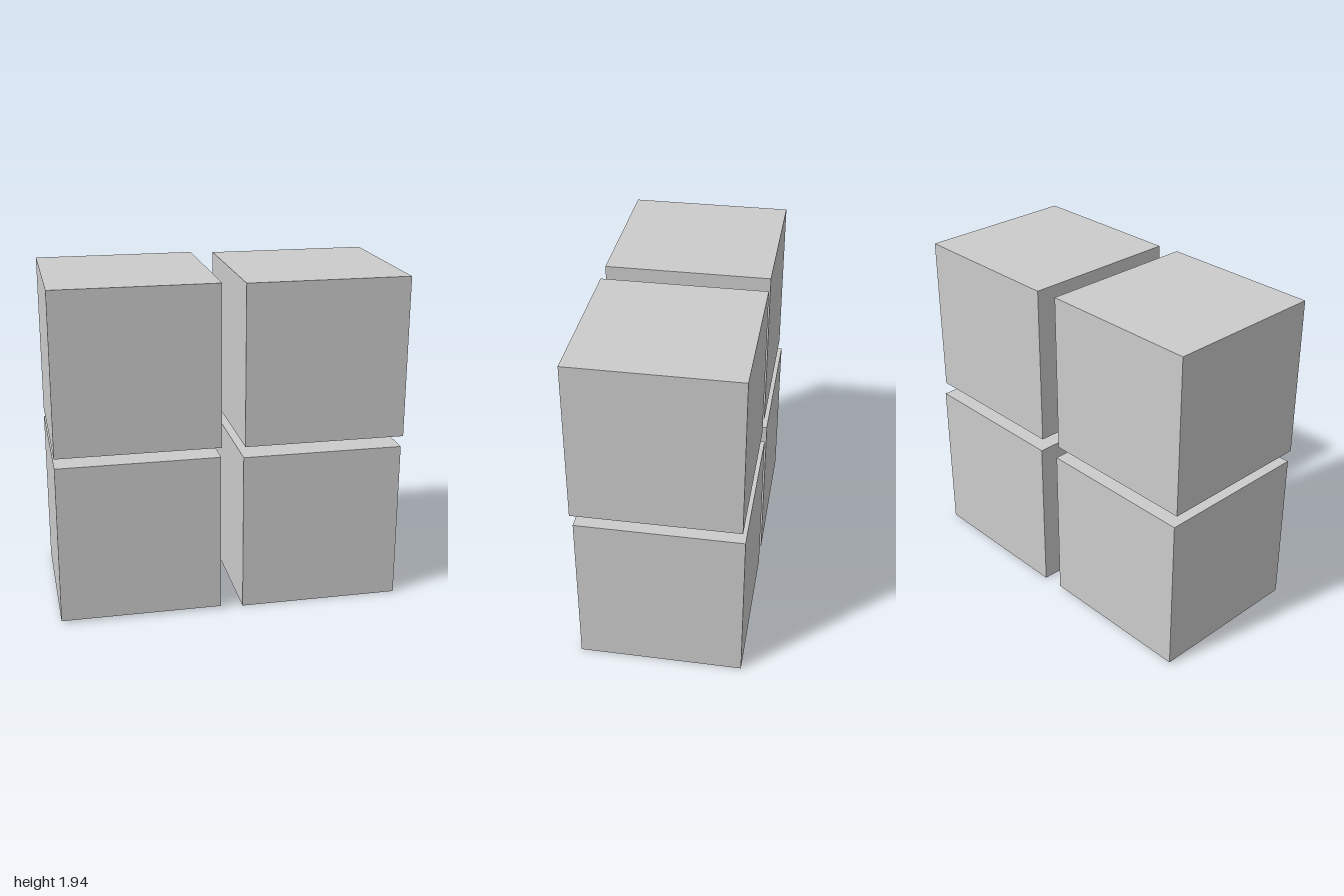
import * as THREE from 'three';

// Four equal cubes stacked two by two, each very slightly out of line
const SIZE = 0.931;
const CUBES = [
  ['upperRightCube', -0.535, 1.472, 0.009],
  ['upperLeftCube', 0.531, 1.465, 0.006],
  ['lowerRightCube', -0.535, 0.478, -0.008],
  ['lowerLeftCube', 0.526, 0.4655, -0.009],
];

export function createModel() {
  const model = new THREE.Group();
  model.name = 'cubeStack';
  const material = new THREE.MeshStandardMaterial({ color: 0xcccccc, flatShading: true });
  const geometry = new THREE.BoxGeometry(SIZE, SIZE, SIZE);

  for (const [name, x, y, z] of CUBES) {
    const cube = new THREE.Mesh(geometry, material);
    cube.name = name;
    cube.position.set(x, y, z);
    model.add(cube);
  }
  return model;
}
